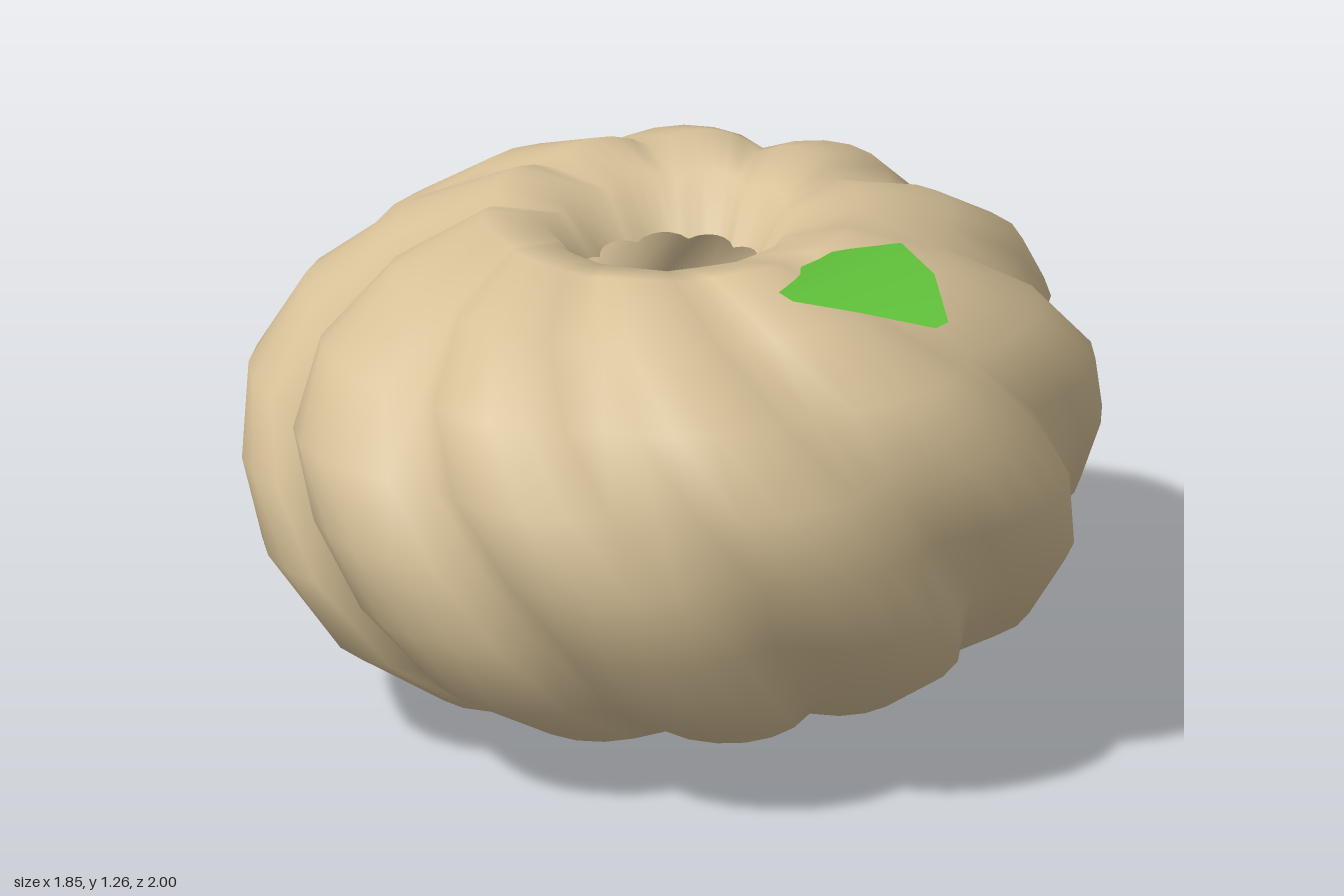
import * as THREE from 'three';

const rad = THREE.MathUtils.degToRad;

// Smooth surface from a flat position list and triangle indices
function surface(name, positions, index, material) {
  const geo = new THREE.BufferGeometry();
  geo.setAttribute('position', new THREE.Float32BufferAttribute(positions, 3));
  geo.setIndex(index);
  geo.computeVertexNormals();
  const mesh = new THREE.Mesh(geo, material);
  mesh.name = name;
  return mesh;
}

// Hollow body: ten lobes that twist around the axis, open at the crown
function makeBody(material) {
  const profile = [ // crest radius, height
    [0, 0], [0.06, 0], [0.34, 0.03], [0.6, 0.11], [0.8, 0.24], [0.92, 0.43], [0.95, 0.61],
    [0.93, 0.78], [0.82, 0.94], [0.63, 1.07], [0.42, 1.15], [0.28, 1.115], [0.2, 1.0],
  ];
  const lobes = 10, perLobe = 6, columns = lobes * perLobe;
  const positions = [], index = [];
  profile.forEach(([radius, height], i) => {
    for (let j = 0; j < columns; j++) {
      const u = (j / columns) * Math.PI * 2;
      const angle = u + rad(20 + 9 * (6 - i));
      const dip = 1 - Math.pow(Math.abs(Math.sin(u * lobes / 2)), 0.8);
      const r = radius * (1 - 0.09 * dip);
      const x = r * Math.sin(angle) - 0.01;
      const z = r * Math.cos(angle) - 0.05;
      const y = 0.55 + (height - 0.55) * (1 - 0.04 * dip * Math.min(1, radius / 0.4));
      positions.push(x, y * (1 + 0.03 * x), z);
    }
  });
  for (let i = 0; i < profile.length - 1; i++) {
    for (let j = 0; j < columns; j++) {
      // Opening in the underside, towards the front
      if ((i === 1 || i === 2) && j >= columns - 10) continue;
      const a = i * columns + j, b = i * columns + (j + 1) % columns;
      if (i > 0) index.push(a, b, b + columns);
      index.push(a, b + columns, a + columns);
    }
  }
  return surface('body', positions, index, material);
}

// Leaf: pairs of edge points from base to tip, tilted up to one side
function makeLeaf(material) {
  const pairs = [ // low edge, high edge
    [0.12, 1.09, 0.23, 0.15, 1.1, 0.23],
    [0.045, 1.11, 0.4, 0.24, 1.16, 0.36],
    [0.015, 1.155, 0.58, 0.285, 1.24, 0.55],
    [0.08, 1.205, 0.81, 0.26, 1.265, 0.8],
    [0.18, 1.225, 1.0, 0.21, 1.235, 1.0],
  ];
  const index = [];
  for (let k = 0; k < pairs.length - 1; k++) {
    const a = 2 * k;
    index.push(a, a + 2, a + 3, a, a + 3, a + 1);
  }
  return surface('leaf', pairs.flat(), index, material);
}

export function createModel() {
  const skin = new THREE.MeshStandardMaterial({ color: 0xd6c097, side: THREE.DoubleSide });
  skin.name = 'tan skin';
  const green = new THREE.MeshStandardMaterial({ color: 0x5dbb38, side: THREE.DoubleSide });
  green.name = 'leaf green';

  const model = new THREE.Group();
  model.name = 'gourd';
  model.add(makeBody(skin), makeLeaf(green));
  return model;
}
